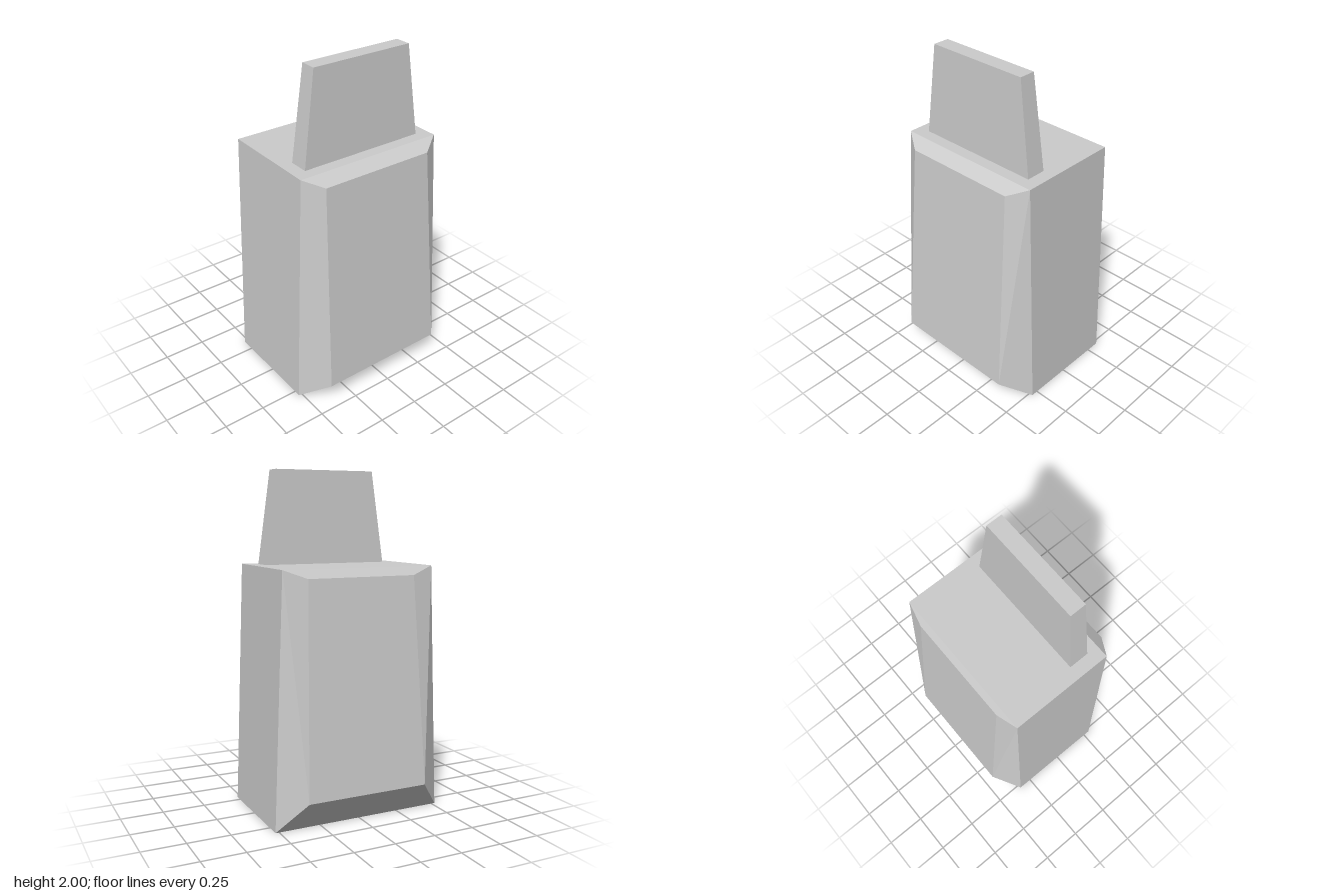
import * as THREE from 'three';

// Skins four-cornered loops, each counterclockwise seen from the end cap.
// crease(i, j) tells which diagonal splits face j of span i.
function loft(name, loops, crease = () => false) {
  const pos = [];
  const tri = (...pts) => pts.forEach((p) => pos.push(...p));
  const quad = (a, b, c, d, flip) => {
    if (flip) { tri(a, b, d); tri(b, c, d); } else { tri(a, b, c); tri(a, c, d); }
  };
  for (let i = 0; i < loops.length - 1; i++) {
    const a = loops[i], b = loops[i + 1];
    for (let j = 0; j < 4; j++) {
      const k = (j + 1) % 4;
      quad(a[j], a[k], b[k], b[j], crease(i, j));
    }
  }
  const first = loops[0], last = loops[loops.length - 1];
  quad(first[3], first[2], first[1], first[0], false);
  quad(last[0], last[1], last[2], last[3], false);
  const geometry = new THREE.BufferGeometry();
  geometry.setAttribute('position', new THREE.Float32BufferAttribute(pos, 3));
  geometry.computeVertexNormals();
  const mesh = new THREE.Mesh(
    geometry,
    new THREE.MeshStandardMaterial({ color: 0xcccccc, flatShading: true })
  );
  mesh.name = name;
  return mesh;
}

// Upright trapezoid at depth z
const upright = (z, y0, x0, y1, x1) => [[x0, y0, z], [x1, y1, z], [-x1, y1, z], [-x0, y0, z]];

// Trapezoid whose bottom and top edges lie at different depths
const leaning = (z0, y0, x0, z1, y1, x1) =>
  upright(0, y0, x0, y1, x1).map(([x, y], i) => [x, y, i === 1 || i === 2 ? z1 : z0]);

// Level rectangle at height y
const level = (y, x, back, front) => [[x, y, front], [x, y, back], [-x, y, back], [-x, y, front]];

export function createModel() {
  const group = new THREE.Group();
  group.name = 'taperedBlockWithFin';

  // Tapered block with bevelled panels raised on the back and front
  group.add(loft('body', [
    leaning(-0.457, 0.18, 0.37, -0.366, 1.4, 0.33),
    upright(-0.335, 0, 0.522, 1.45, 0.466),
    upright(0.291, 0, 0.522, 1.45, 0.466),
    leaning(0.457, 0.125, 0.397, 0.361, 1.395, 0.354),
  ], (i, j) => (i === 2) === (j === 0)));

  // Thin tapered fin standing on the top
  group.add(loft('topFin', [
    level(1.44, 0.39, 0.099, 0.22),
    level(2, 0.315, 0.111, 0.208),
  ]));

  return group;
}
